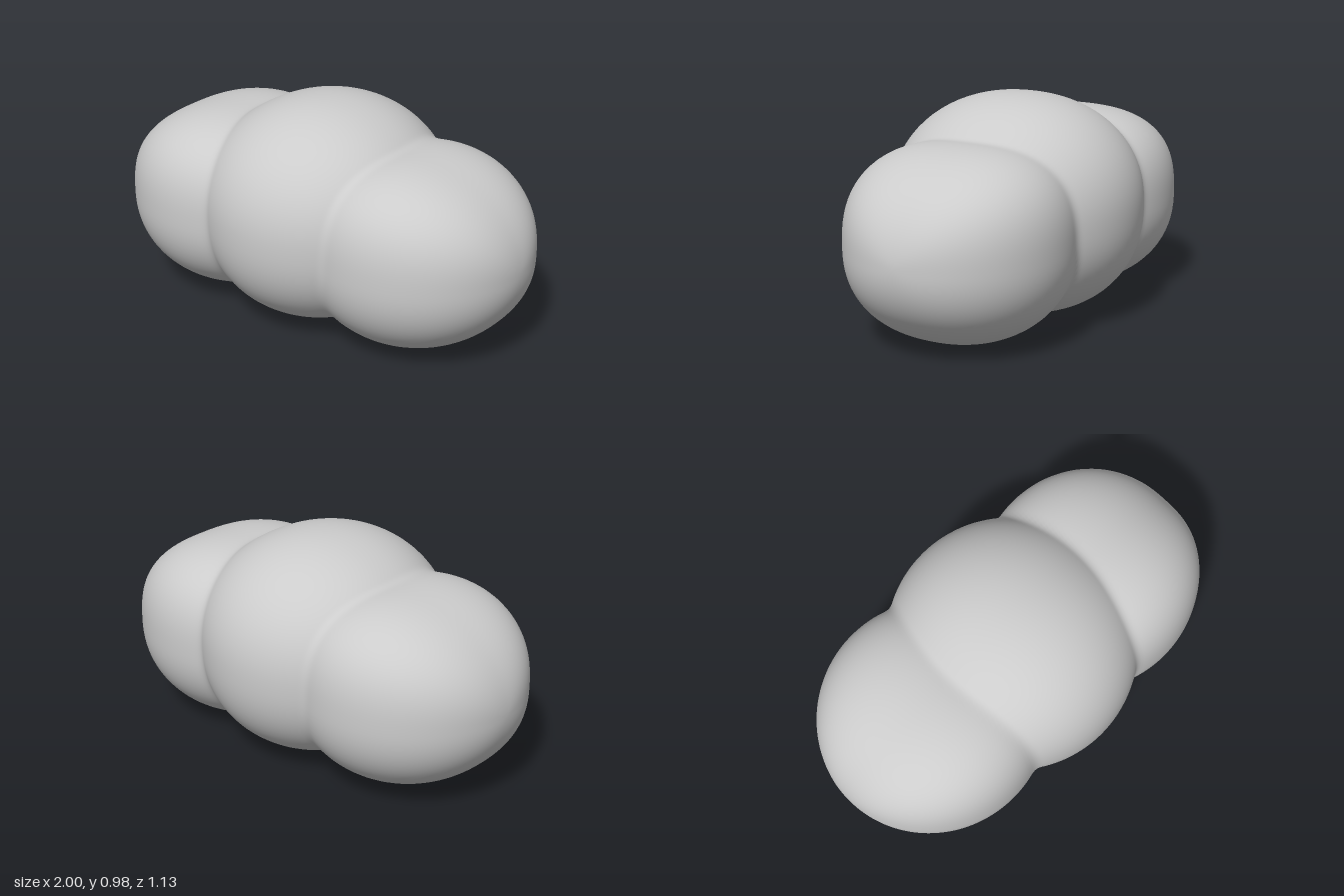
import * as THREE from 'three';
import { mergeVertices } from 'three/addons/utils/BufferGeometryUtils.js';

// Three rounded puffs: centre x, y and radii; up / down = squareness of the section
const PUFFS = [
  { x: -0.48, y: 0.438, rx: 0.52, ry: 0.418, rz: 0.5, up: 2.7, down: 2.25 },
  { x: 0, y: 0.497, rx: 0.56, ry: 0.49, rz: 0.565, up: 2.15, down: 2.35 },
  { x: 0.48, y: 0.422, rx: 0.52, ry: 0.418, rz: 0.487, up: 2.7, down: 2.25 },
];
const CORE = new THREE.Vector3(0, 0.45, 0);
const BLEND = 0.045;

// Below 1 inside a puff, above 1 outside
function puffField(p, c) {
  const power = p.y > c.y ? c.up : c.down;
  const section = Math.pow(Math.abs((p.y - c.y) / c.ry), power) + Math.pow(Math.abs(p.z / c.rz), power);
  return Math.sqrt(((p.x - c.x) / c.rx) ** 2 + Math.pow(section, 2 / power));
}

// Smooth minimum softens the creases between puffs
function smoothMin(a, b) {
  const h = Math.max(BLEND - Math.abs(a - b), 0) / BLEND;
  return Math.min(a, b) - (h * h * BLEND) / 4;
}

function cloudField(p) {
  return PUFFS.map((c) => puffField(p, c)).reduce(smoothMin);
}

export function createModel() {
  const group = new THREE.Group();
  group.name = 'cloud';

  // Sphere with its poles on the x axis, each vertex pushed out to the skin
  let geometry = new THREE.SphereGeometry(1, 96, 160);
  geometry.rotateZ(Math.PI / 2);
  geometry.deleteAttribute('uv');
  geometry.deleteAttribute('normal');
  geometry = mergeVertices(geometry, 1e-5);

  const position = geometry.attributes.position;
  const dir = new THREE.Vector3();
  const p = new THREE.Vector3();
  for (let i = 0; i < position.count; i++) {
    dir.fromBufferAttribute(position, i).normalize();
    let near = 0;
    let far = 1.5;
    for (let step = 0; step < 26; step++) {
      const mid = (near + far) / 2;
      p.copy(CORE).addScaledVector(dir, mid);
      if (cloudField(p) < 1) near = mid;
      else far = mid;
    }
    p.copy(CORE).addScaledVector(dir, near);
    position.setXYZ(i, p.x, p.y, p.z);
  }
  geometry.computeVertexNormals();

  const body = new THREE.Mesh(geometry, new THREE.MeshStandardMaterial({ color: 0xcccccc }));
  body.name = 'cloudPuffs';
  group.add(body);
  return group;
}
